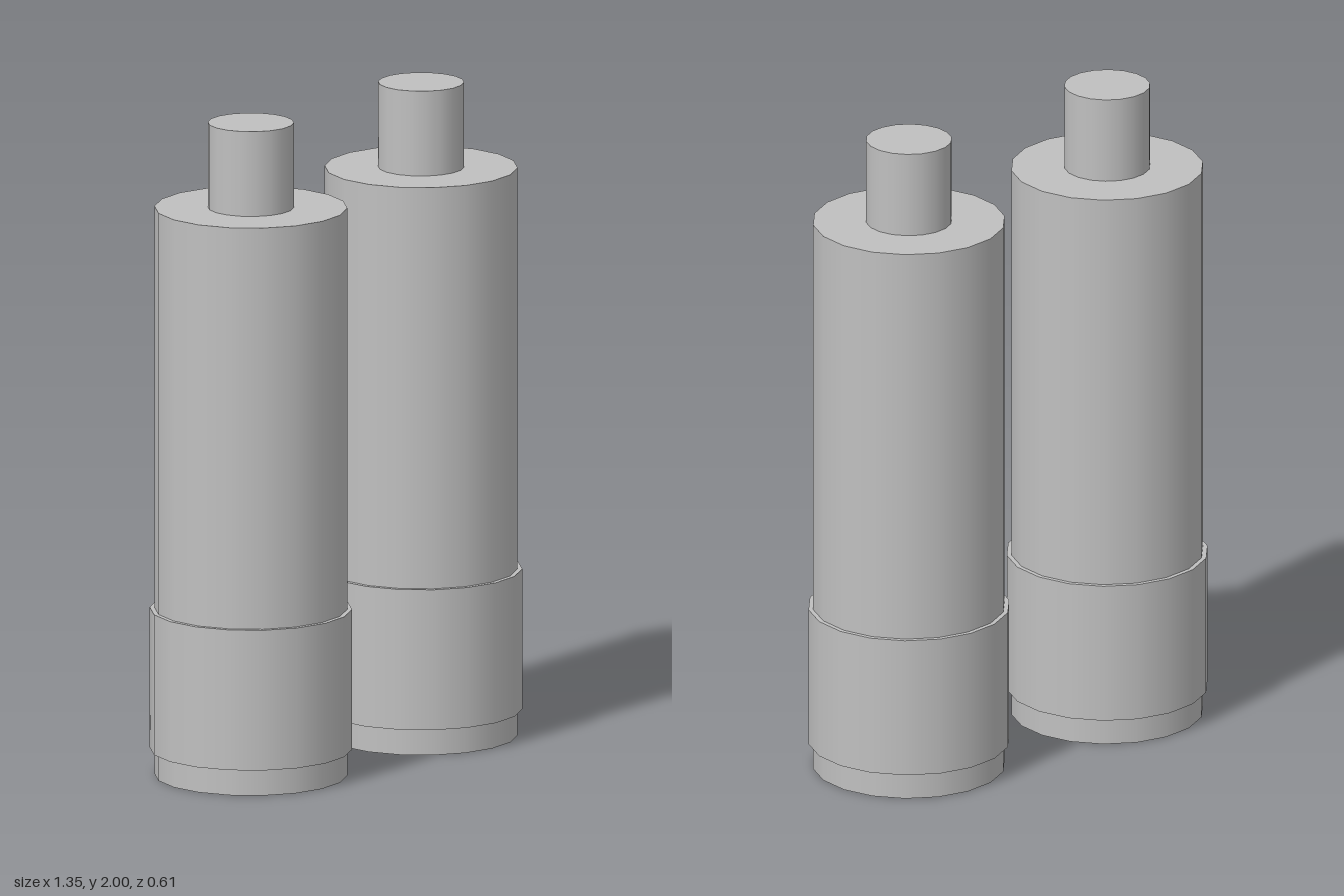
import * as THREE from 'three';

const SIDES = 18;

export function createModel() {
  const model = new THREE.Group();
  model.name = 'cylinderPair';

  const grey = new THREE.MeshStandardMaterial({ color: 0xc0c0c0 });
  grey.name = 'light grey';

  // Upright cylinder between two heights
  function addCylinder(parent, name, radius, bottom, top) {
    const geometry = new THREE.CylinderGeometry(radius, radius, top - bottom, SIDES);
    const mesh = new THREE.Mesh(geometry, grey);
    mesh.name = name;
    mesh.position.y = (bottom + top) / 2;
    parent.add(mesh);
  }

  for (const side of [-1, 1]) {
    const unit = new THREE.Group();
    unit.name = side > 0 ? 'leftCylinder' : 'rightCylinder';
    unit.position.x = side * 0.375;

    addCylinder(unit, 'body', 0.289, 0, 1.74);
    addCylinder(unit, 'collar', 0.303, 0.08, 0.51);
    addCylinder(unit, 'topStud', 0.129, 1.74, 2);
    model.add(unit);
  }

  return model;
}
